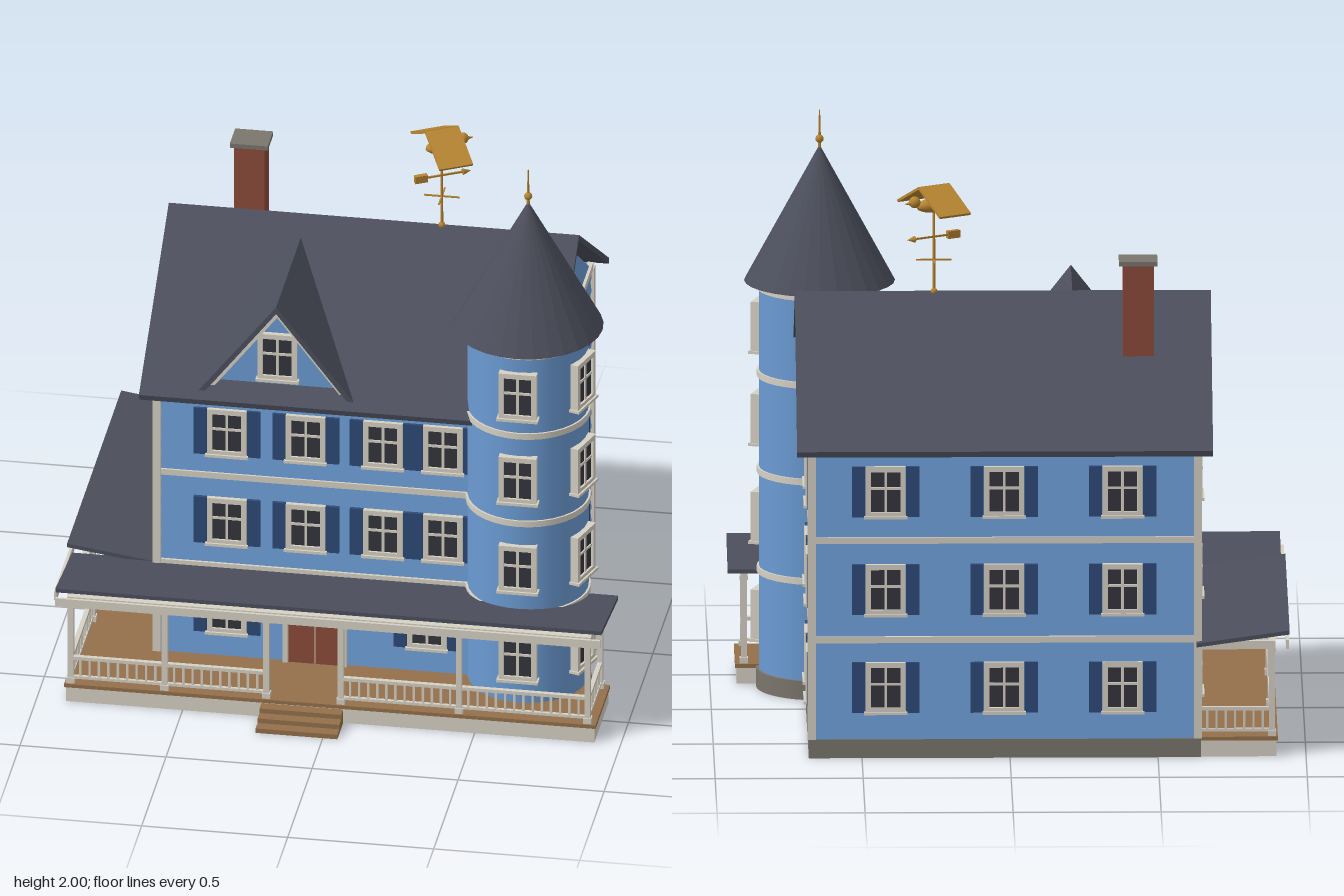
import * as THREE from 'three';

const paint = (name, color, extra = {}) => Object.assign(new THREE.MeshStandardMaterial({ color, ...extra }), { name });

export function createModel() {
  const M = {
    wall: paint('blue siding', 0x6b9bd3),
    trim: paint('cream trim', 0xd6d1c4),
    roof: paint('slate roof', 0x4c4f5c),
    shutter: paint('navy shutter', 0x2e4a78),
    glass: paint('dark glass', 0x34353d),
    brick: paint('brick red', 0x8c4a3a),
    wood: paint('deck wood', 0x94704a),
    stone: paint('grey stone', 0x7a756c),
    gold: paint('old gold', 0xb88632),
  };
  const model = new THREE.Group();
  model.name = 'house';

  const group = (name, parent = model) => {
    const g = new THREE.Group();
    g.name = name;
    parent.add(g);
    return g;
  };
  const add = (parent, name, geo, mat, x = 0, y = 0, z = 0) => {
    const m = new THREE.Mesh(geo, mat);
    m.name = name;
    m.position.set(x, y, z);
    parent.add(m);
    return m;
  };
  const box = (parent, name, mat, w, h, d, x, y, z) => add(parent, name, new THREE.BoxGeometry(w, h, d), mat, x, y, z);
  // box given by its lower and upper corners
  const span = (parent, name, mat, [x0, y0, z0], [x1, y1, z1]) =>
    box(parent, name, mat, x1 - x0, y1 - y0, z1 - z0, (x0 + x1) / 2, (y0 + y1) / 2, (z0 + z1) / 2);
  const cyl = (parent, name, mat, r0, r1, h, x, y, z, n = 32) =>
    add(parent, name, new THREE.CylinderGeometry(r0, r1, h, n), mat, x, y, z);
  // outline in (across, up), extruded along z from 0 to depth
  const slab = (points, depth) => new THREE.ExtrudeGeometry(
    new THREE.Shape(points.map(p => new THREE.Vector2(...p))), { depth, bevelEnabled: false });

  // ---- main body -------------------------------------------------------
  const X0 = -0.635, X1 = 0.67, Z0 = -0.7, Z1 = 0.37, CX = (X0 + X1) / 2, CZ = (Z0 + Z1) / 2;
  const W = X1 - X0, D = Z1 - Z0, RIDGE = 1.47;
  const body = group('mainBody');
  box(body, 'foundation', M.stone, W + 0.02, 0.065, D + 0.02, CX, 0.0325, CZ);

  // overlapping clapboards: every board leans out at its lower edge
  const siding = group('siding', body), rows = 20, bh = 1.035 / rows;
  for (let i = 0; i < rows; i++) {
    const g = new THREE.BoxGeometry(W, bh, D), p = g.attributes.position;
    for (let k = 0; k < p.count; k++) if (p.getY(k) < 0) {
      p.setX(k, p.getX(k) + Math.sign(p.getX(k)) * 0.006);
      p.setZ(k, p.getZ(k) + Math.sign(p.getZ(k)) * 0.006);
    }
    g.computeVertexNormals();
    add(siding, 'clapboard', g, M.wall, CX, 0.065 + bh * (i + 0.5), CZ);
  }
  // floor bands and corner boards
  for (const y of [0.41, 0.755, 1.09]) {
    if (y < 1.05) box(body, 'floorBand', M.trim, W + 0.02, 0.022, D + 0.02, CX, y, CZ);
    else for (const x of [X0, X1]) box(body, 'gableBand', M.trim, 0.02, 0.025, D, x, y, CZ);
  }
  for (const x of [X0, X1]) for (const z of [Z0, Z1])
    box(body, 'cornerBoard', M.trim, 0.028, 1.02, 0.028, x, 0.575, z);

  // gable walls and main roof
  const turn = m => { m.rotation.y = -Math.PI / 2; return m; }; // profile across z, depth toward -x
  const hz = D / 2;
  turn(add(body, 'gableWalls', slab([[-hz, 1.08], [hz, 1.08], [0, 1.455]], W), M.wall, X1, 0, CZ));
  turn(add(body, 'mainRoof', slab([[-0.61, 1.06], [0, RIDGE], [0.61, 1.06], [0.615, 1.08], [0, 1.492], [-0.615, 1.08]], 1.405),
    M.roof, 0.72, 0, CZ));

  // ---- windows ---------------------------------------------------------
  const windowUnit = (parent, x, y, z, angle, shutters = true, w = 0.135, h = 0.175) => {
    const g = group('window', parent), t = 0.018;
    g.position.set(x, y, z);
    g.rotation.y = angle;
    box(g, 'pane', M.glass, w - 0.01, h - 0.01, 0.02, 0, 0, 0);
    for (const s of [-1, 1]) {
      box(g, 'frameSide', M.trim, t, h, 0.036, s * (w - t) / 2, 0, 0);
      box(g, 'frameRail', M.trim, w, t, 0.036, 0, s * (h - t) / 2, 0);
      if (shutters) box(g, 'shutter', M.shutter, 0.045, h, 0.028, s * (w / 2 + 0.024), 0, 0);
    }
    box(g, 'mullion', M.trim, 0.009, h, 0.028, 0, 0, 0);
    box(g, 'sashBar', M.trim, w, 0.009, 0.028, 0, 0.012, 0);
    box(g, 'sill', M.trim, w + 0.012, 0.01, 0.05, 0, -h / 2, 0);
  };
  const wins = group('windows'), floors = [0.245, 0.585, 0.925];
  floors.forEach((y, i) => {
    for (const x of i ? [-0.395, -0.125, 0.14, 0.345] : [-0.395, 0.29]) windowUnit(wins, x, y, Z1, 0);
    for (const x of [-0.38, 0.02, 0.42]) windowUnit(wins, x, y, Z0, Math.PI);
    for (const z of [-0.21, -0.49]) windowUnit(wins, X1, y, z, Math.PI / 2);
    for (const z of [-0.4, 0.06]) windowUnit(wins, X0, y, z, -Math.PI / 2);
  });

  // ---- dormer ----------------------------------------------------------
  const dormer = group('dormer');
  dormer.position.x = -0.22;
  add(dormer, 'dormerWall', slab([[-0.25, 1.08], [0.25, 1.08], [0, 1.4]], 0.45), M.wall, 0, 0, -0.07);
  add(dormer, 'dormerRoof', slab([[-0.285, 1.075], [-0.262, 1.075], [0, 1.415], [0.262, 1.075], [0.285, 1.075], [0, 1.44]], 0.52),
    M.roof, 0, 0, -0.1);
  add(dormer, 'rakeTrim', slab([[-0.262, 1.075], [-0.243, 1.075], [0, 1.39], [0.243, 1.075], [0.262, 1.075], [0, 1.415]], 0.02),
    M.trim, 0, 0, 0.38);
  box(dormer, 'dormerSill', M.trim, 0.5, 0.015, 0.04, 0, 1.095, 0.385);
  windowUnit(dormer, 0, 1.235, 0.38, 0, false);

  // ---- corner tower ----------------------------------------------------
  const tower = group('tower'), R = 0.205;
  tower.position.set(0.63, 0, 0.34);
  cyl(tower, 'towerBase', M.stone, R + 0.01, R + 0.01, 0.065, 0, 0.0325, 0);
  cyl(tower, 'towerWall', M.wall, R, R, 1.35, 0, 0.735, 0);
  for (const y of [0.41, 0.755, 1.09, 1.395]) cyl(tower, 'towerBand', M.trim, R + 0.007, R + 0.007, 0.022, 0, y, 0);
  for (const y of [...floors, 1.245]) for (const a of [0, 1.26])
    windowUnit(tower, R * Math.sin(a), y, R * Math.cos(a), a, false, 0.13);
  const cone = new THREE.ConeGeometry(0.255, 0.47, 28).toNonIndexed();
  cone.computeVertexNormals();
  add(tower, 'towerRoof', cone, M.roof, 0, 1.645, 0);
  cyl(tower, 'spire', M.gold, 0.002, 0.006, 0.14, 0, 1.93, 0, 8);
  add(tower, 'spireBall', new THREE.SphereGeometry(0.014, 12, 8), M.gold, 0, 1.9, 0);

  // ---- chimney ---------------------------------------------------------
  const chimney = group('chimney');
  box(chimney, 'chimneyStack', M.brick, 0.105, 0.44, 0.085, -0.437, 1.42, -0.375);
  box(chimney, 'chimneyCap', M.stone, 0.13, 0.016, 0.11, -0.437, 1.645, -0.375);

  // ---- porch -----------------------------------------------------------
  const porch = group('porch');
  span(porch, 'frontBase', M.trim, [-0.9, 0, Z1], [0.91, 0.055, 0.66]);
  span(porch, 'sideBase', M.trim, [-0.9, 0, Z0], [X0, 0.055, Z1]);
  span(porch, 'frontDeck', M.wood, [-0.905, 0.055, Z1], [0.915, 0.068, 0.665]);
  span(porch, 'sideDeck', M.wood, [-0.905, 0.055, Z0], [X0, 0.068, Z1]);
  for (let i = 0; i < 3; i++)
    span(porch, 'step', M.wood, [-0.23, 0, 0.66], [0.05, 0.017 * (i + 1), 0.78 - 0.04 * i]);

  // roofs rise gently away from the walls
  const lean = [[0, 0.388], [0.345, 0.432], [0.345, 0.446], [0, 0.402]];
  const frontRoof = add(porch, 'frontPorchRoof', slab(lean, 1.87), M.roof, 0.94, 0, 0.35);
  frontRoof.rotation.y = -Math.PI / 2;
  const sideRoof = add(porch, 'sidePorchRoof', slab(lean.map(([a, y]) => [-a * 0.91, y]).reverse(), 1.11), M.roof, -0.63, 0, -0.74);
  span(porch, 'frontFascia', M.trim, [-0.93, 0.38, 0.688], [0.935, 0.41, 0.698]);
  span(porch, 'sideFascia', M.trim, [-0.942, 0.38, -0.73], [-0.932, 0.41, 0.655]);

  // posts, beams and railings along straight runs
  const E = 0.645, L = -0.885, RT = 0.885;
  span(porch, 'frontBeam', M.trim, [L - 0.012, 0.37, E - 0.012], [RT + 0.012, 0.398, E + 0.012]);
  span(porch, 'leftBeam', M.trim, [L - 0.012, 0.37, -0.69], [L + 0.012, 0.398, E]);
  span(porch, 'rightBeam', M.trim, [RT - 0.012, 0.37, 0.38], [RT + 0.012, 0.398, E]);
  span(porch, 'backBeam', M.trim, [L, 0.37, -0.692], [X0, 0.398, -0.668]);
  const frontX = [L, -0.563, -0.215, 0.04, 0.445, RT], leftZ = [-0.68, -0.24, 0.2];
  const posts = [...frontX.map(x => [x, E]), ...leftZ.map(z => [L, z]), [RT, 0.39]];
  for (const [x, z] of posts) {
    box(porch, 'post', M.trim, 0.02, 0.31, 0.02, x, 0.22, z);
    box(porch, 'postFoot', M.trim, 0.028, 0.02, 0.028, x, 0.078, z);
    box(porch, 'postCap', M.trim, 0.028, 0.014, 0.028, x, 0.365, z);
  }
  const railing = (x0, z0, x1, z1) => {
    const g = group('railing', porch), len = Math.hypot(x1 - x0, z1 - z0), n = Math.round(len / 0.032);
    g.position.set((x0 + x1) / 2, 0, (z0 + z1) / 2);
    g.rotation.y = Math.atan2(-(z1 - z0), x1 - x0);
    box(g, 'topRail', M.trim, len, 0.012, 0.016, 0, 0.162, 0);
    box(g, 'bottomRail', M.trim, len, 0.01, 0.012, 0, 0.088, 0);
    for (let i = 1; i < n; i++) box(g, 'baluster', M.trim, 0.008, 0.07, 0.008, len * (i / n - 0.5), 0.125, 0);
  };
  for (let i = 0; i < 5; i++) if (i !== 2) railing(frontX[i], E, frontX[i + 1], E);
  [...leftZ, E].forEach((z, i, all) => { if (i) railing(L, all[i - 1], L, z); });
  railing(RT, E, RT, 0.39);
  railing(L, -0.68, X0, -0.68);

  // ---- front door ------------------------------------------------------
  const door = group('frontDoor');
  door.position.set(-0.093, 0, Z1);
  for (const s of [-1, 1]) {
    box(door, 'doorLeaf', M.brick, 0.089, 0.26, 0.03, s * 0.0465, 0.198, 0);
    box(door, 'doorJamb', M.trim, 0.018, 0.31, 0.045, s * 0.101, 0.22, 0);
  }
  box(door, 'doorGap', M.trim, 0.004, 0.26, 0.024, 0, 0.198, 0);
  box(door, 'transom', M.shutter, 0.185, 0.04, 0.024, 0, 0.35, 0);
  box(door, 'doorHeader', M.trim, 0.22, 0.016, 0.05, 0, 0.375, 0);

  // ---- weathervane -----------------------------------------------------
  const vane = group('weathervane');
  vane.position.set(0.25, 0, -0.165);
  cyl(vane, 'pole', M.gold, 0.004, 0.005, 0.31, 0, 1.635, 0, 8);
  add(vane, 'poleFoot', new THREE.SphereGeometry(0.012, 10, 8), M.gold, 0, 1.49, 0);
  box(vane, 'compassBar', M.gold, 0.12, 0.005, 0.005, 0, 1.6, 0);
  box(vane, 'compassBar', M.gold, 0.005, 0.005, 0.12, 0, 1.6, 0);
  const flyer = group('bird', vane);
  flyer.rotation.y = 0.51;
  box(flyer, 'arrowShaft', M.gold, 0.16, 0.006, 0.006, 0.005, 1.68, 0);
  box(flyer, 'arrowTail', M.gold, 0.045, 0.026, 0.018, -0.075, 1.68, 0);
  cyl(flyer, 'arrowTip', M.gold, 0, 0.012, 0.03, 0.09, 1.68, 0, 8).rotation.z = -Math.PI / 2;
  add(flyer, 'birdBody', new THREE.SphereGeometry(0.03, 16, 10), M.gold, 0.005, 1.79, 0).scale.set(2.1, 0.8, 1);
  add(flyer, 'birdHead', new THREE.SphereGeometry(0.02, 12, 8), M.gold, 0.075, 1.808, 0);
  cyl(flyer, 'beak', M.gold, 0, 0.008, 0.025, 0.102, 1.806, 0, 8).rotation.z = -Math.PI / 2;
  for (const s of [-1, 1])
    box(flyer, 'wing', M.gold, 0.12, 0.009, 0.162, 0, 1.818, s * 0.072).rotation.x = s * 0.47;

  return model;
}
